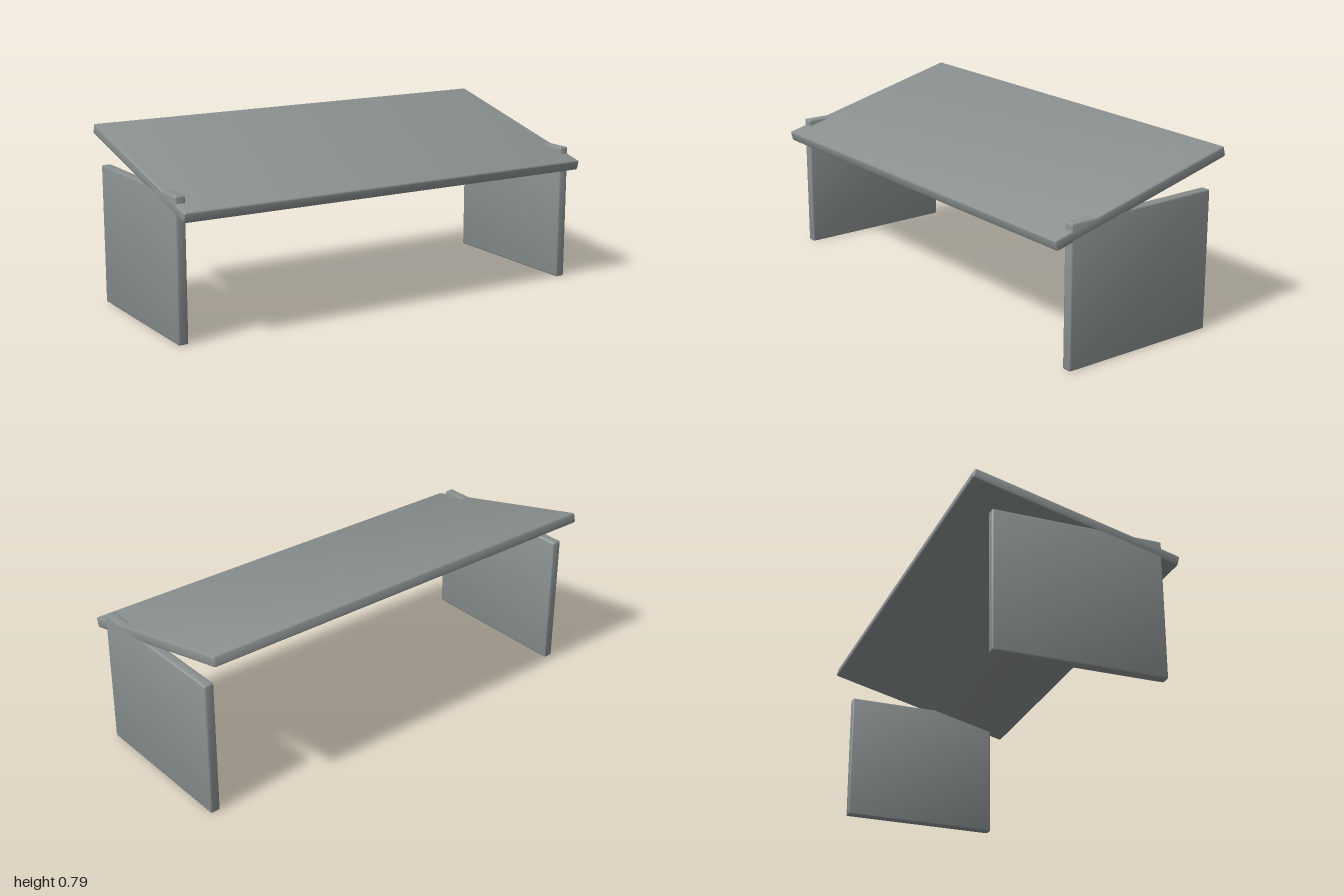
import * as THREE from 'three';
import { RoundedBoxGeometry } from 'three/addons/geometries/RoundedBoxGeometry.js';

export function createModel() {
  const model = new THREE.Group();
  model.name = 'slantedDesk';
  const material = new THREE.MeshStandardMaterial({ color: 0x8a9090 });

  // Board with rounded edges, its normals leaning outward so the faces shade smoothly into them
  function board(name, width, height, depth, x, y, z) {
    const geometry = new RoundedBoxGeometry(width, height, depth, 1, 0.007);
    const { position, normal } = geometry.attributes;
    const lean = 0.2;
    for (let i = 0; i < position.count; i++) {
      normal.setXYZ(i,
        normal.getX(i) + lean * Math.sign(position.getX(i)),
        normal.getY(i) + lean * Math.sign(position.getY(i)),
        normal.getZ(i) + lean * Math.sign(position.getZ(i)));
    }
    geometry.normalizeNormals();
    const mesh = new THREE.Mesh(geometry, material);
    mesh.name = name;
    mesh.position.set(x, y, z);
    model.add(mesh);
    return mesh;
  }

  // Tilted top, low at the front and high at the back
  const top = board('tabletop', 2, 0.046, 0.922, 0, 0.655, 0);
  top.rotation.x = THREE.MathUtils.degToRad(14);

  // Upright side panels that cut through the top near the front
  const thickness = 0.045, height = 0.617;
  for (const side of [1, -1]) {
    board(side > 0 ? 'leftSidePanel' : 'rightSidePanel',
      thickness, height, 0.74, side * (1 - thickness / 2), height / 2, 0);
  }
  return model;
}
